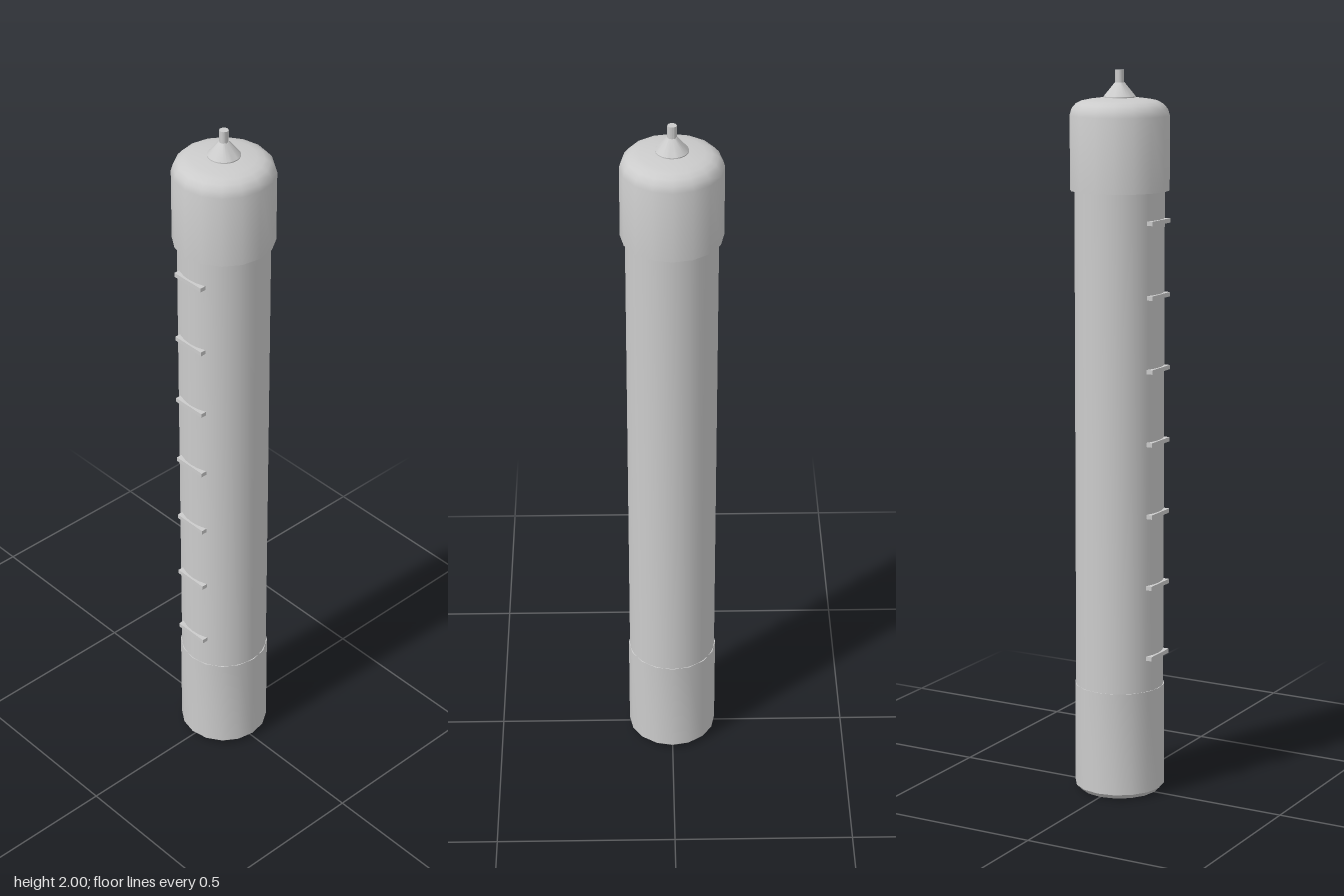
import * as THREE from 'three';
import { toCreasedNormals } from 'three/addons/utils/BufferGeometryUtils.js';

const material = new THREE.MeshStandardMaterial({ color: 0xcccccc });

// Turned part from [radius, height] pairs, listed bottom to top
function turned(name, profile, sides, crease = 0.6) {
  const points = profile.map(([r, y]) => new THREE.Vector2(r, y));
  const geometry = toCreasedNormals(new THREE.LatheGeometry(points, sides), crease);
  const mesh = new THREE.Mesh(geometry, material);
  mesh.name = name;
  return mesh;
}

export function createModel() {
  const group = new THREE.Group();
  group.name = 'capped tube';

  // Long main tube
  group.add(turned('tube', [[0, 0.02], [0.122, 0.02], [0.122, 1.72], [0, 1.72]], 32));

  // Bottom sleeve with a chamfered foot
  group.add(turned('bottomSleeve',
    [[0, 0], [0.111, 0], [0.125, 0.014], [0.125, 0.305], [0, 0.305]], 16));

  // Wide top cap with a rounded shoulder and a slightly domed top
  group.add(turned('cap', [
    [0, 1.68], [0.135, 1.68], [0.135, 1.88], [0.13, 1.897], [0.119, 1.91],
    [0.104, 1.918], [0.085, 1.922], [0.045, 1.927], [0, 1.928],
  ], 16));

  // Flared nozzle and its short stem
  group.add(turned('nozzle', [[0, 1.92], [0.043, 1.92], [0.043, 1.93], [0.013, 1.967], [0, 1.967]], 32));
  group.add(turned('stem', [[0, 1.96], [0.012, 1.96], [0.012, 2], [0, 2]], 16));

  // Graduation marks up one side
  const markGeometry = new THREE.BoxGeometry(0.022, 0.012, 0.1);
  for (let i = 0; i < 7; i++) {
    const mark = new THREE.Mesh(markGeometry, material);
    mark.name = `graduationMark${i + 1}`;
    mark.position.set(-0.117, 0.4 + i * 0.2, 0);
    group.add(mark);
  }

  return group;
}
